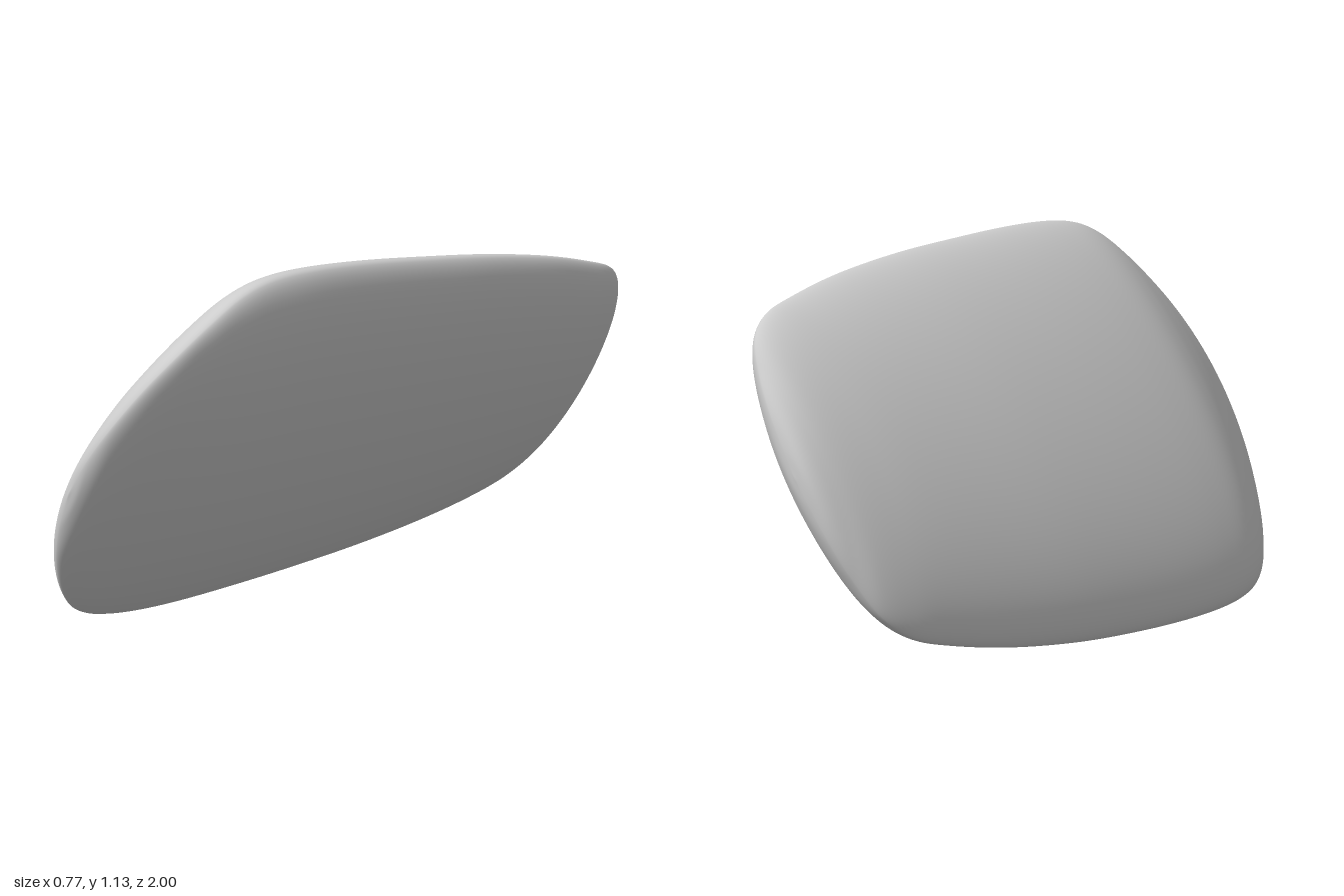
import * as THREE from 'three';
import { mergeVertices } from 'three/addons/utils/BufferGeometryUtils.js';

// Cross-sections from back to front:
// [z, half width, sideways shift, rim height, upper face height, lower face height]
const STATIONS = [
  [-1, 0, 0.03, -0.03, -0.03, -0.03],
  [-0.995, 0.09, 0.03, -0.03, -0.003, -0.055],
  [-0.98, 0.19, 0.03, -0.035, 0.015, -0.08],
  [-0.95, 0.29, 0.03, -0.045, 0.03, -0.115],
  [-0.9, 0.4, 0.028, -0.055, 0.045, -0.155],
  [-0.82, 0.472, 0.026, -0.06, 0.06, -0.195],
  [-0.7, 0.518, 0.023, -0.06, 0.078, -0.215],
  [-0.5, 0.572, 0.018, -0.052, 0.1, -0.221],
  [-0.25, 0.617, 0.01, -0.037, 0.125, -0.216],
  [0, 0.645, 0.003, -0.02, 0.143, -0.206],
  [0.22, 0.662, 0, -0.006, 0.154, -0.196],
  [0.4, 0.666, 0, 0.002, 0.158, -0.188],
  [0.53, 0.654, 0.002, 0.004, 0.153, -0.182],
  [0.63, 0.623, 0.008, -0.008, 0.132, -0.176],
  [0.73, 0.565, 0.018, -0.035, 0.096, -0.168],
  [0.82, 0.488, 0.032, -0.058, 0.057, -0.156],
  [0.9, 0.38, 0.048, -0.07, 0.02, -0.138],
  [0.96, 0.25, 0.06, -0.073, -0.015, -0.115],
  [0.99, 0.125, 0.067, -0.068, -0.04, -0.09],
  [1, 0, 0.07, -0.063, -0.063, -0.063],
];
const TILT = THREE.MathUtils.degToRad(57.2);
const RINGS = 152;
const SIDES = 96;

// Smooth curve through three station columns
function track(first) {
  const pts = STATIONS.map((s) => new THREE.Vector3(...s.slice(first, first + 3)));
  return new THREE.CatmullRomCurve3(pts, false, 'catmullrom', 0.5);
}

// Loft of lens-shaped sections, the upper face getting more pointed to the back
function stoneGeometry() {
  const plan = track(0);
  const heights = track(3);
  const positions = [];
  const index = [];
  for (let i = 0; i <= RINGS; i++) {
    const { x: z, y: half, z: shift } = plan.getPoint(i / RINGS);
    const { x: rim, y: upper, z: lower } = heights.getPoint(i / RINGS);
    for (let j = 0; j < SIDES; j++) {
      const angle = (j / SIDES) * Math.PI * 2;
      const s = Math.sin(angle);
      const n = s >= 0
        ? rim + (upper - rim) * Math.pow(s, 1.15 - 0.15 * z)
        : rim + (lower - rim) * Math.pow(-s, 1.2);
      positions.push(shift + half * Math.cos(angle), n, z);
      if (i < RINGS) {
        const k = (j + 1) % SIDES;
        const a = i * SIDES + j, b = i * SIDES + k;
        index.push(a, b, b + SIDES, a, b + SIDES, a + SIDES);
      }
    }
  }
  let geometry = new THREE.BufferGeometry();
  geometry.setAttribute('position', new THREE.Float32BufferAttribute(positions, 3));
  geometry.setIndex(index);
  geometry = mergeVertices(geometry, 1e-5);
  geometry.rotateZ(TILT);

  // Rest on the ground, centred
  geometry.computeBoundingBox();
  const { min, max } = geometry.boundingBox;
  geometry.translate(-(min.x + max.x) / 2, -min.y, -(min.z + max.z) / 2);
  geometry.computeVertexNormals();
  return geometry;
}

export function createModel() {
  const group = new THREE.Group();
  const stone = new THREE.Mesh(
    stoneGeometry(),
    new THREE.MeshStandardMaterial({ color: 0xcccccc })
  );
  stone.name = 'stone';
  group.add(stone);
  return group;
}
